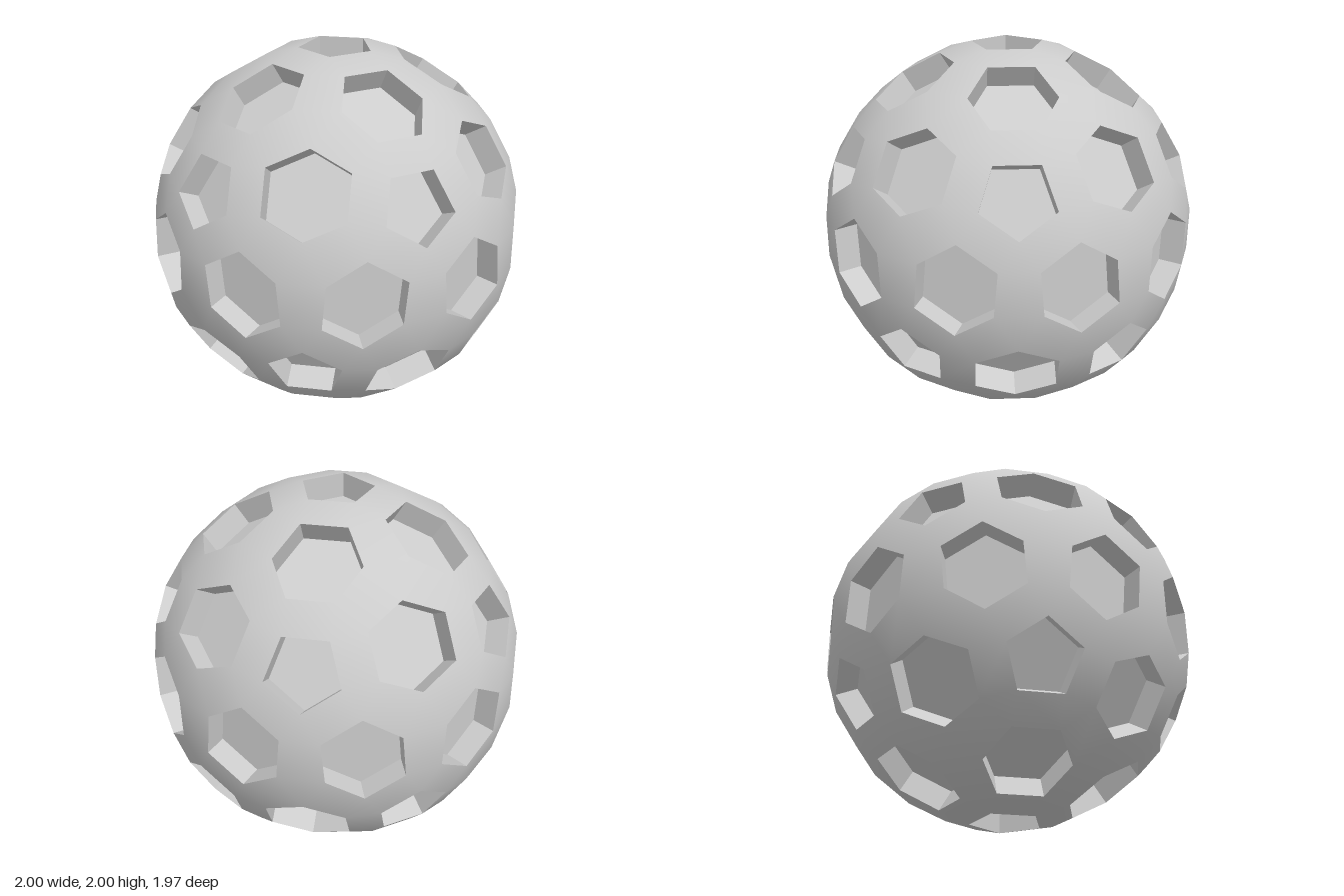
import * as THREE from 'three';
import { ConvexGeometry } from 'three/addons/geometries/ConvexGeometry.js';

const DEPTH = 0.133;
const PENTAGON = { name: 'pentagonRecess', distance: 1.0, outline: [] };
for (let i = 0; i < 5; i++) {
  const a = (i * 2 * Math.PI) / 5;
  PENTAGON.outline.push([0.2 * Math.cos(a), 0.2 * Math.sin(a)]);
}
const HEXAGON = {
  name: 'hexagonRecess',
  distance: 0.985,
  outline: [[0.21, -0.12], [0.21, 0.12], [0, 0.225], [-0.21, 0.12], [-0.21, -0.12], [0, -0.225]],
};

// The twelve five-fold directions: two poles and two staggered rings
function pentagonDirections() {
  const dirs = [new THREE.Vector3(0, 1, 0), new THREE.Vector3(0, -1, 0)];
  const y = 1 / Math.sqrt(5), r = 2 / Math.sqrt(5);
  for (let i = 0; i < 5; i++) {
    const a = THREE.MathUtils.degToRad(18 + 72 * i);
    const p = new THREE.Vector3(r * Math.sin(a), y, r * Math.cos(a));
    dirs.push(p, p.clone().negate());
  }
  return dirs;
}

// Rim corners of one opening, counter-clockwise around its outward normal;
// toward sets the outline's local x direction
function makeOpening(type, normal, toward) {
  const u = toward.clone().addScaledVector(normal, -toward.dot(normal)).normalize();
  const v = normal.clone().cross(u);
  const rim = type.outline.map(([x, y]) =>
    normal.clone().multiplyScalar(type.distance).addScaledVector(u, x).addScaledVector(v, y));
  return { type, normal, rim };
}

// Straight inner walls and a flat floor
function recessGeometry({ type, normal, rim }) {
  const floor = rim.map((p) => p.clone().addScaledVector(normal, -DEPTH));
  const centre = normal.clone().multiplyScalar(type.distance - DEPTH);
  const points = [];
  rim.forEach((a, i) => {
    const j = (i + 1) % rim.length;
    points.push(floor[i], a, rim[j], floor[i], rim[j], floor[j]);
    points.push(centre, floor[i], floor[j]);
  });
  const geometry = new THREE.BufferGeometry().setFromPoints(points);
  geometry.computeVertexNormals();
  return geometry;
}

// Smooth outer skin: hull of all rims with the openings left out
function shellGeometry(openings) {
  const key = (p) => [p.x, p.y, p.z].map((c) => Math.round(c * 1000)).join();
  const owner = new Map();
  openings.forEach((o, i) => o.rim.forEach((p) => owner.set(key(p.clone().fround?.() ?? p), i)));
  const hull = new ConvexGeometry(openings.flatMap((o) => o.rim)).getAttribute('position');
  const ownerOf = (p) => {
    const known = owner.get(key(p));
    if (known !== undefined) return known;
    // Rounding fallback: the opening with the closest rim corner
    let best = 0, bestD = Infinity;
    openings.forEach((o, i) => o.rim.forEach((q) => {
      const d = q.distanceToSquared(p);
      if (d < bestD) { bestD = d; best = i; }
    }));
    return best;
  };
  const points = [];
  for (let i = 0; i < hull.count; i += 3) {
    const tri = [0, 1, 2].map((k) => new THREE.Vector3().fromBufferAttribute(hull, i + k));
    const [a, b, c] = tri.map(ownerOf);
    if (a !== b || b !== c) points.push(...tri);
  }
  const geometry = new THREE.BufferGeometry().setFromPoints(points);
  const normals = points.flatMap((p) => p.clone().normalize().toArray());
  geometry.setAttribute('normal', new THREE.Float32BufferAttribute(normals, 3));
  return geometry;
}

export function createModel() {
  const model = new THREE.Group();
  model.name = 'perforatedBall';
  const material = new THREE.MeshStandardMaterial({ color: 0xcccccc });
  const dirs = pentagonDirections();
  const adjacent = (a, b) => a !== b && a.dot(b) > 0.4;

  // Pentagons on the five-fold directions, hexagons midway between neighbours
  const openings = [];
  dirs.forEach((a, i) => {
    const neighbour = dirs.find((b) => adjacent(a, b));
    openings.push(makeOpening(PENTAGON, a, neighbour.clone().negate()));
    dirs.slice(i + 1).filter((b) => adjacent(a, b)).forEach((b) => {
      openings.push(makeOpening(HEXAGON, a.clone().add(b).normalize(), a));
    });
  });

  const add = (name, geometry) => {
    const mesh = new THREE.Mesh(geometry, material);
    mesh.name = name;
    mesh.position.y = 1;
    model.add(mesh);
  };
  add('shell', shellGeometry(openings));
  openings.forEach((o) => add(o.type.name, recessGeometry(o)));
  return model;
}
